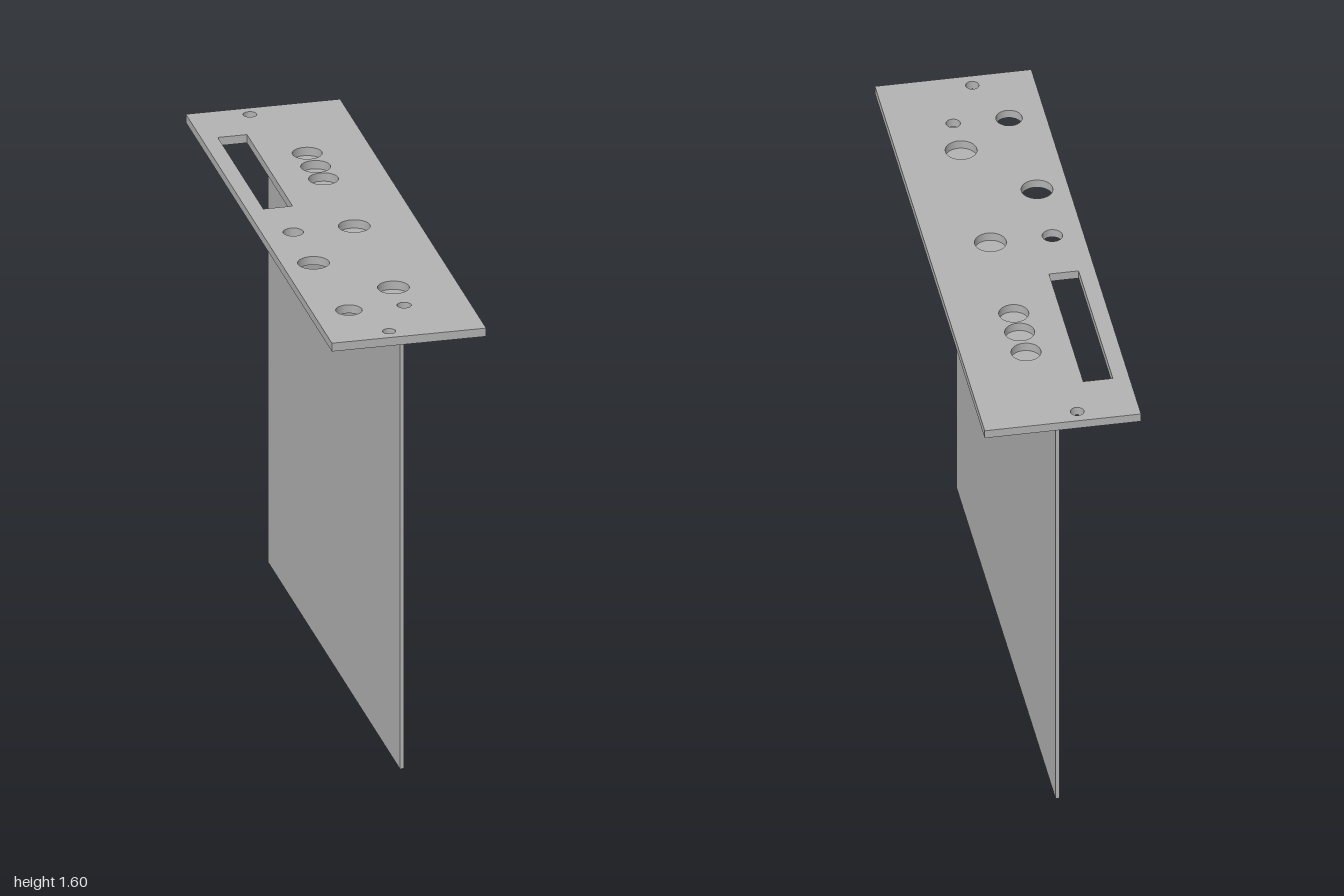
import * as THREE from 'three';

export function createModel() {
  const group = new THREE.Group();
  const grey = new THREE.MeshStandardMaterial({ color: 0xb2b2b2 });
  grey.name = 'plain grey metal';

  const topY = 1.604, plateT = 0.03, sheetT = 0.013;
  const halfW = 0.264, bracketLength = 1.804;
  const underside = topY - plateT;

  // Face plate outline, drawn with shape y as world z
  const outline = new THREE.Shape();
  outline.moveTo(-halfW, -1).lineTo(halfW, -1).lineTo(halfW, 1).lineTo(-halfW, 1).closePath();

  // Round holes: x, z, radius
  const holes = [
    [-0.058, -0.947, 0.023], [-0.055, 0.947, 0.022], // mounting screws
    [0.047, -0.582, 0.05], [0.047, -0.466, 0.05], [0.047, -0.358, 0.05], // row of three
    [0.049, 0.055, 0.053], [0.049, 0.59, 0.053], [0.047, 0.745, 0.024],
    [-0.16, 0.055, 0.034], [-0.158, 0.324, 0.053], [-0.141, 0.741, 0.044],
  ];
  for (const [x, z, r] of holes) {
    outline.holes.push(new THREE.Path().absarc(x, z, r, 0, Math.PI * 2, true));
  }

  // Long rectangular window
  const slot = new THREE.Path();
  slot.moveTo(-0.209, -0.783).lineTo(-0.209, -0.159).lineTo(-0.109, -0.159).lineTo(-0.109, -0.783).closePath();
  outline.holes.push(slot);

  const plateGeometry = new THREE.ExtrudeGeometry(outline, {
    depth: plateT, bevelEnabled: false, curveSegments: 24,
  });
  plateGeometry.rotateX(Math.PI / 2).translate(0, topY, 0);
  const plate = new THREE.Mesh(plateGeometry, grey);
  plate.name = 'facePlate';
  group.add(plate);

  // Bent sheet bracket: an L-shaped section swept along z
  const s = sheetT / 2, flangeX = 0.122;
  const section = new THREE.Shape();
  section.moveTo(-s, 0).lineTo(s, 0).lineTo(s, underside - sheetT)
    .lineTo(flangeX, underside - sheetT).lineTo(flangeX, underside)
    .lineTo(-s, underside).closePath();
  const bracketGeometry = new THREE.ExtrudeGeometry(section, { depth: bracketLength, bevelEnabled: false });
  bracketGeometry.translate(0, 0, -bracketLength / 2);
  const bracket = new THREE.Mesh(bracketGeometry, grey);
  bracket.name = 'flangedSheet';
  group.add(bracket);

  return group;
}
